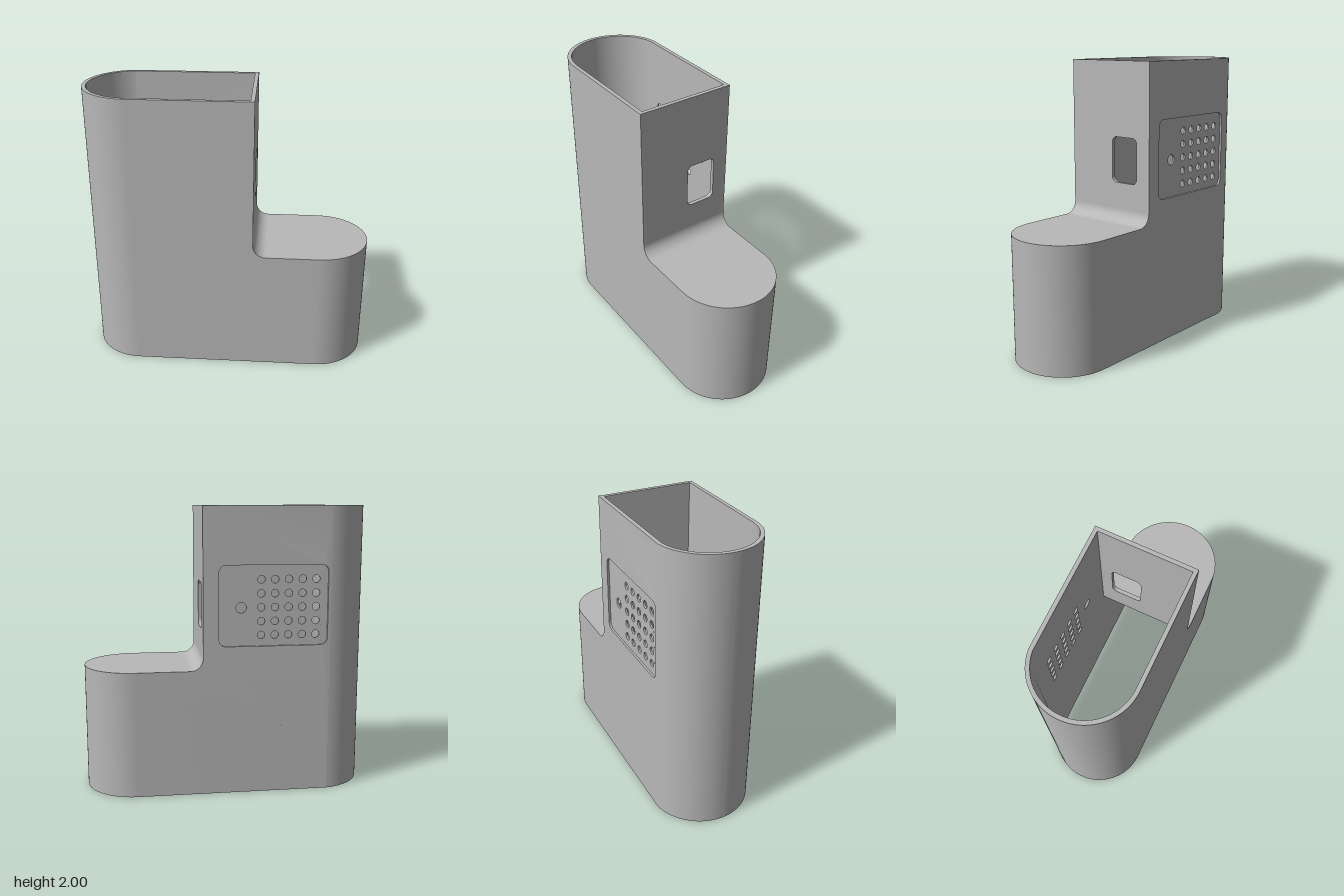
import * as THREE from 'three';
import { toCreasedNormals } from 'three/addons/utils/BufferGeometryUtils.js';

const R = 0.35, C = 0.65;          // end radius and end centres (x = -C, +C)
const T = 0.028, RECESS = 0.015;   // wall thickness and recess depth
const STEP_X = 0.185, STEP_Y = 0.885, FILLET = 0.09, TOP = 2;
const BACK_END = -0.7;             // back wall runs slightly into the curved end

function extrude(shape, depth) {
  return new THREE.ExtrudeGeometry(shape, { depth, bevelEnabled: false, curveSegments: 32 });
}

// L-shaped side profile with a rounded inner corner
function sideProfile(left) {
  const s = new THREE.Shape();
  s.moveTo(left, 0);
  s.lineTo(C, 0);
  s.lineTo(C, STEP_Y);
  s.lineTo(STEP_X + FILLET, STEP_Y);
  s.absarc(STEP_X + FILLET, STEP_Y + FILLET, FILLET, -Math.PI / 2, -Math.PI, true);
  s.lineTo(STEP_X, TOP);
  s.lineTo(left, TOP);
  s.closePath();
  return s;
}

function roundedRect(x0, y0, x1, y1, r) {
  const p = new THREE.Path();
  p.moveTo(x0 + r, y0);
  p.lineTo(x1 - r, y0);
  p.absarc(x1 - r, y0 + r, r, -Math.PI / 2, 0, false);
  p.lineTo(x1, y1 - r);
  p.absarc(x1 - r, y1 - r, r, 0, Math.PI / 2, false);
  p.lineTo(x0 + r, y1);
  p.absarc(x0 + r, y1 - r, r, Math.PI / 2, Math.PI, false);
  p.lineTo(x0, y0 + r);
  p.absarc(x0 + r, y0 + r, r, Math.PI, Math.PI * 1.5, false);
  return p;
}

function roundHole(x, y, r) {
  const p = new THREE.Path();
  p.absarc(x, y, r, 0, Math.PI * 2, false);
  return p;
}

// Curved shell standing upright between two angles
function curvedEnd(cx, a0, a1, height) {
  const s = new THREE.Shape();
  s.absarc(cx, 0, R, a0, a1, false);
  s.absarc(cx, 0, R - T, a1, a0, true);
  s.closePath();
  return extrude(s, height).rotateX(-Math.PI / 2);
}

// Follow the round end where the back wall passes its tangent line
function bendBack(geometry) {
  const p = geometry.attributes.position;
  for (let i = 0; i < p.count; i++) {
    const dx = p.getX(i) + C, z = p.getZ(i);
    if (dx < 0) p.setZ(i, -Math.sqrt(z * z - dx * dx));
  }
  return geometry;
}

export function createModel() {
  const model = new THREE.Group();
  model.name = 'steppedHousing';
  const grey = new THREE.MeshStandardMaterial({ color: 0xb8b8b8 });
  grey.name = 'grey';

  function add(name, geometry) {
    const mesh = new THREE.Mesh(toCreasedNormals(geometry, 0.5), grey);
    mesh.name = name;
    model.add(mesh);
  }

  // Plain front wall
  add('frontWall', extrude(sideProfile(-C), T).translate(0, 0, R - T));

  // Back wall: outer layer cut by the recess, inner layer drilled
  const outer = sideProfile(BACK_END);
  outer.holes.push(roundedRect(-0.68, 1.05, 0.077, 1.605, 0.05));
  add('backWallOuter', bendBack(extrude(outer, RECESS).translate(0, 0, -R)));

  const inner = sideProfile(BACK_END);
  inner.holes.push(roundHole(-0.077, 1.315, 0.036));
  for (let row = 0; row < 5; row++) {
    for (let col = 0; col < 5; col++) {
      inner.holes.push(roundHole(-0.215 - col * 0.0955, 1.125 + row * 0.0955, 0.026));
    }
  }
  add('backWallInner', bendBack(extrude(inner, T - RECESS).translate(0, 0, -R + RECESS)));

  // Rounded ends: tall one and low one
  const start = Math.PI / 2 + Math.asin((-C - BACK_END) / R);
  add('tallRoundEnd', curvedEnd(-C, start, Math.PI * 1.5, TOP));
  add('lowRoundEnd', curvedEnd(C, -Math.PI / 2, Math.PI / 2, STEP_Y));

  // Step wall with the rounded window
  const half = R - T;
  const step = new THREE.Shape();
  step.moveTo(-half, STEP_Y + FILLET);
  step.lineTo(half, STEP_Y + FILLET);
  step.lineTo(half, TOP);
  step.lineTo(-half, TOP);
  step.closePath();
  step.holes.push(roundedRect(0.02, 1.16, 0.24, 1.48, 0.04));
  add('stepWall', extrude(step, T).rotateY(Math.PI / 2).translate(STEP_X - T, 0, 0));

  // Rounded corner between step wall and shelf
  const fx = STEP_X + FILLET, fy = STEP_Y + FILLET;
  const corner = new THREE.Shape();
  corner.absarc(fx, fy, FILLET + T, Math.PI, Math.PI * 1.5, false);
  corner.absarc(fx, fy, FILLET, Math.PI * 1.5, Math.PI, true);
  corner.closePath();
  add('stepFillet', extrude(corner, half * 2).translate(0, 0, -half));

  // Shelf closing the low part
  const shelf = new THREE.Shape();
  shelf.moveTo(fx, -half);
  shelf.lineTo(C, -half);
  shelf.absarc(C, 0, half, -Math.PI / 2, Math.PI / 2, false);
  shelf.lineTo(fx, half);
  shelf.closePath();
  add('shelf', extrude(shelf, T).rotateX(-Math.PI / 2).translate(0, STEP_Y - T, 0));

  return model;
}
